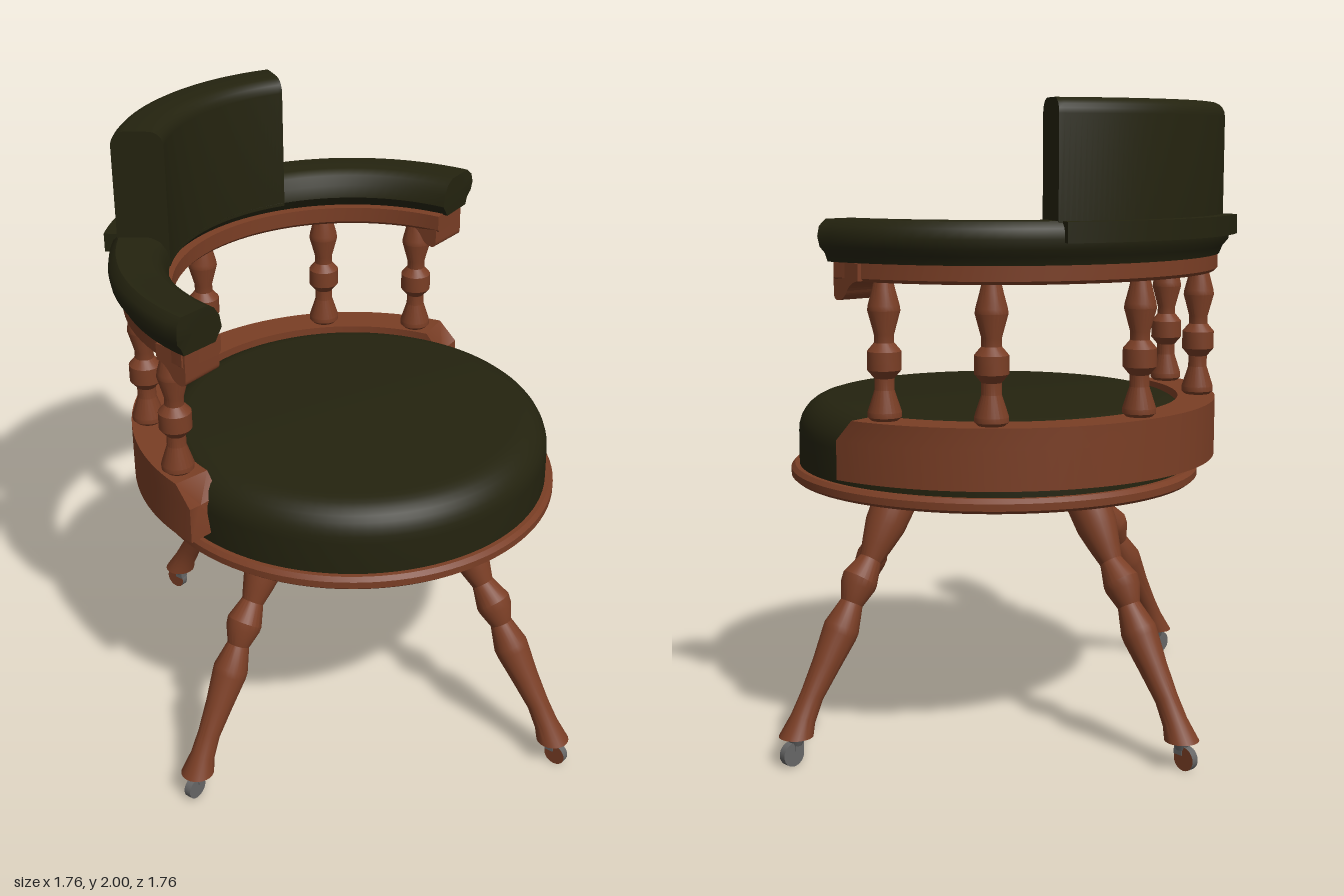
import * as THREE from 'three';
import { toCreasedNormals } from 'three/addons/utils/BufferGeometryUtils.js';

const wood = new THREE.MeshStandardMaterial({ color: 0x7a3e25 });
wood.name = 'polished wood';
const leather = new THREE.MeshStandardMaterial({ color: 0x24230f });
leather.name = 'dark green leather';
const metal = new THREE.MeshStandardMaterial({ color: 0x666666 });
metal.name = 'caster metal';

function add(parent, name, geometry, material) {
  const mesh = new THREE.Mesh(geometry, material);
  mesh.name = name;
  parent.add(mesh);
  return mesh;
}

// Skin a list of equal-length rings and close both ends
function loft(rings, crease) {
  const pos = [], idx = [], n = rings[0].length, last = rings.length - 1;
  rings.forEach(ring => ring.forEach(p => pos.push(p.x, p.y, p.z)));
  for (let j = 0; j < last; j++) {
    for (let i = 0; i < n; i++) {
      const k = (i + 1) % n;
      const a = j * n + i, b = j * n + k, c = b + n, d = a + n;
      idx.push(a, d, c, a, c, b);
    }
  }
  for (const j of [0, last]) {
    const centre = new THREE.Vector3();
    rings[j].forEach(p => centre.addScaledVector(p, 1 / n));
    const m = pos.length / 3;
    pos.push(centre.x, centre.y, centre.z);
    for (let i = 0; i < n; i++) {
      const a = j * n + i, b = j * n + (i + 1) % n;
      if (j === 0) idx.push(m, a, b);
      else idx.push(m, b, a);
    }
  }
  const g = new THREE.BufferGeometry();
  g.setAttribute('position', new THREE.Float32BufferAttribute(pos, 3));
  g.setIndex(idx);
  return toCreasedNormals(g, crease);
}

// Sweep a counter-clockwise [radius, height, endInset] profile around the back
function arc(profile, fromDeg, toDeg, crease = 0.6) {
  const rings = [], steps = 48;
  for (let j = 0; j <= steps; j++) {
    rings.push(profile.map(([r, y, inset = 0]) => {
      const t = THREE.MathUtils.degToRad(
        THREE.MathUtils.lerp(fromDeg + inset, toDeg - inset, j / steps));
      return new THREE.Vector3(-r * Math.cos(t), y, r * Math.sin(t));
    }));
  }
  return loft(rings, crease);
}

function lathe(points, segments, crease) {
  const g = new THREE.LatheGeometry(points.map(p => new THREE.Vector2(...p)), segments);
  return toCreasedNormals(g, crease);
}

// Splayed turned leg: [distance from axis, height, radius] stations
function legGeometry() {
  const s = [
    [0.40, 0.82, 0.06], [0.43, 0.76, 0.069], [0.47, 0.69, 0.064], [0.505, 0.63, 0.048],
    [0.53, 0.59, 0.036], [0.572, 0.535, 0.057], [0.582, 0.515, 0.055], [0.607, 0.465, 0.036],
    [0.647, 0.395, 0.056], [0.658, 0.375, 0.055], [0.71, 0.29, 0.044], [0.765, 0.205, 0.036],
    [0.80, 0.14, 0.039], [0.828, 0.09, 0.053],
  ];
  const rings = s.map(([x, y, r], j) => {
    const a = s[Math.max(j - 1, 0)], b = s[Math.min(j + 1, s.length - 1)];
    const t = j === s.length - 1
      ? new THREE.Vector2(0, -1)
      : new THREE.Vector2(b[0] - a[0], b[1] - a[1]).normalize();
    return Array.from({ length: 24 }, (_, i) => {
      const u = i / 24 * Math.PI * 2, c = r * Math.cos(u);
      return new THREE.Vector3(x + t.y * c, y - t.x * c, r * Math.sin(u));
    });
  });
  return loft(rings, 0.45);
}

export function createModel() {
  const chair = new THREE.Group();
  chair.name = 'captainChair';

  // Round seat
  add(chair, 'seatRim', lathe([
    [0, 0.785], [0.45, 0.787], [0.46, 0.80], [0.655, 0.80], [0.667, 0.81],
    [0.667, 0.832], [0.655, 0.845], [0, 0.845],
  ], 96, 0.5), wood);
  const cushion = [[0, 0.84], [0.64, 0.84], [0.64, 0.95]];
  for (let i = 1; i <= 8; i++) {
    const u = i / 8 * Math.PI / 2;
    cushion.push([0.53 + 0.11 * Math.cos(u), 0.953 + 0.11 * Math.sin(u)]);
  }
  cushion.push([0, 1.064]);
  add(chair, 'seatCushion', lathe(cushion, 96, 0.5), leather);

  // Curved wooden base of the gallery, with sloped ends
  add(chair, 'galleryBase', arc([
    [0.60, 0.88], [0.72, 0.88], [0.72, 1.0], [0.72, 1.065, 5], [0.60, 1.065, 5], [0.60, 1.0],
  ], -84, 84), wood);

  // Turned spindles
  const spindle = lathe([
    [0.035, 1.06], [0.051, 1.075], [0.051, 1.09], [0.03, 1.155], [0.03, 1.19], [0.051, 1.215],
    [0.051, 1.27], [0.03, 1.295], [0.03, 1.32], [0.049, 1.39], [0.047, 1.405], [0.035, 1.45],
    [0.028, 1.48],
  ], 24, 0.4);
  for (const [x, z] of [[-0.19, 0.637], [-0.475, 0.465], [-0.655, -0.02],
    [-0.475, -0.457], [-0.19, -0.622]]) {
    add(chair, 'spindle', spindle, wood).position.set(x, 0, z);
  }

  // Arm rail with a scrolled bracket under each end
  add(chair, 'armRail', arc([
    [0.575, 1.475], [0.71, 1.475], [0.72, 1.485], [0.72, 1.535], [0.565, 1.535], [0.565, 1.485],
  ], -84, 84), wood);
  const bracket = new THREE.Shape();
  bracket.moveTo(-0.068, 1.53);
  bracket.lineTo(-0.18, 1.53);
  bracket.lineTo(-0.18, 1.478);
  bracket.quadraticCurveTo(-0.145, 1.475, -0.125, 1.44);
  bracket.quadraticCurveTo(-0.11, 1.418, -0.085, 1.418);
  bracket.quadraticCurveTo(-0.068, 1.42, -0.068, 1.44);
  const bracketGeometry = new THREE.ExtrudeGeometry(bracket, {
    depth: 0.148, bevelEnabled: false, curveSegments: 8,
  });
  for (const z of [0.562, -0.71]) {
    add(chair, 'armBracket', bracketGeometry, wood).position.z = z;
  }

  // Padded arms
  add(chair, 'armPad', arc([
    [0.60, 1.53], [0.725, 1.53], [0.735, 1.555], [0.752, 1.575, -0.3], [0.757, 1.605, -0.6],
    [0.752, 1.635, -0.4], [0.73, 1.655], [0.63, 1.655], [0.60, 1.64], [0.58, 1.61], [0.572, 1.57],
  ], -85.5, 85.5, 0.7), leather);

  // Upright back pad with rounded top and its rear ledge
  const backPad = [[0.572, 1.56], [0.735, 1.56]];
  for (const [cr, start] of [[0.69, 0], [0.617, Math.PI / 2]]) {
    for (let i = 0; i <= 5; i++) {
      const u = start + i / 5 * Math.PI / 2;
      backPad.push([cr + 0.045 * Math.cos(u), 1.955 + 0.045 * Math.sin(u)]);
    }
  }
  add(chair, 'backPad', arc(backPad, -29, 35), leather);
  add(chair, 'backLedge', arc([
    [0.70, 1.595], [0.782, 1.595], [0.782, 1.655], [0.70, 1.655],
  ], -28, 33), leather);

  // Four legs on casters
  const leg = legGeometry();
  const stem = new THREE.CylinderGeometry(0.03, 0.018, 0.03, 16);
  const fork = new THREE.BoxGeometry(0.03, 0.03, 0.03);
  const wheel = new THREE.CylinderGeometry(0.037, 0.037, 0.024, 24).rotateX(Math.PI / 2);
  for (let k = 0; k < 4; k++) {
    const group = new THREE.Group();
    group.name = 'leg';
    group.rotation.y = k * Math.PI / 2;
    add(group, 'turnedLeg', leg, wood);
    add(group, 'casterStem', stem, metal).position.set(0.828, 0.077, 0);
    add(group, 'casterFork', fork, metal).position.set(0.825, 0.062, 0);
    const side = k % 2 ? metal : wood;
    add(group, 'casterWheel', wheel, [metal, side, side]).position.set(0.845, 0.037, 0);
    chair.add(group);
  }
  return chair;
}
